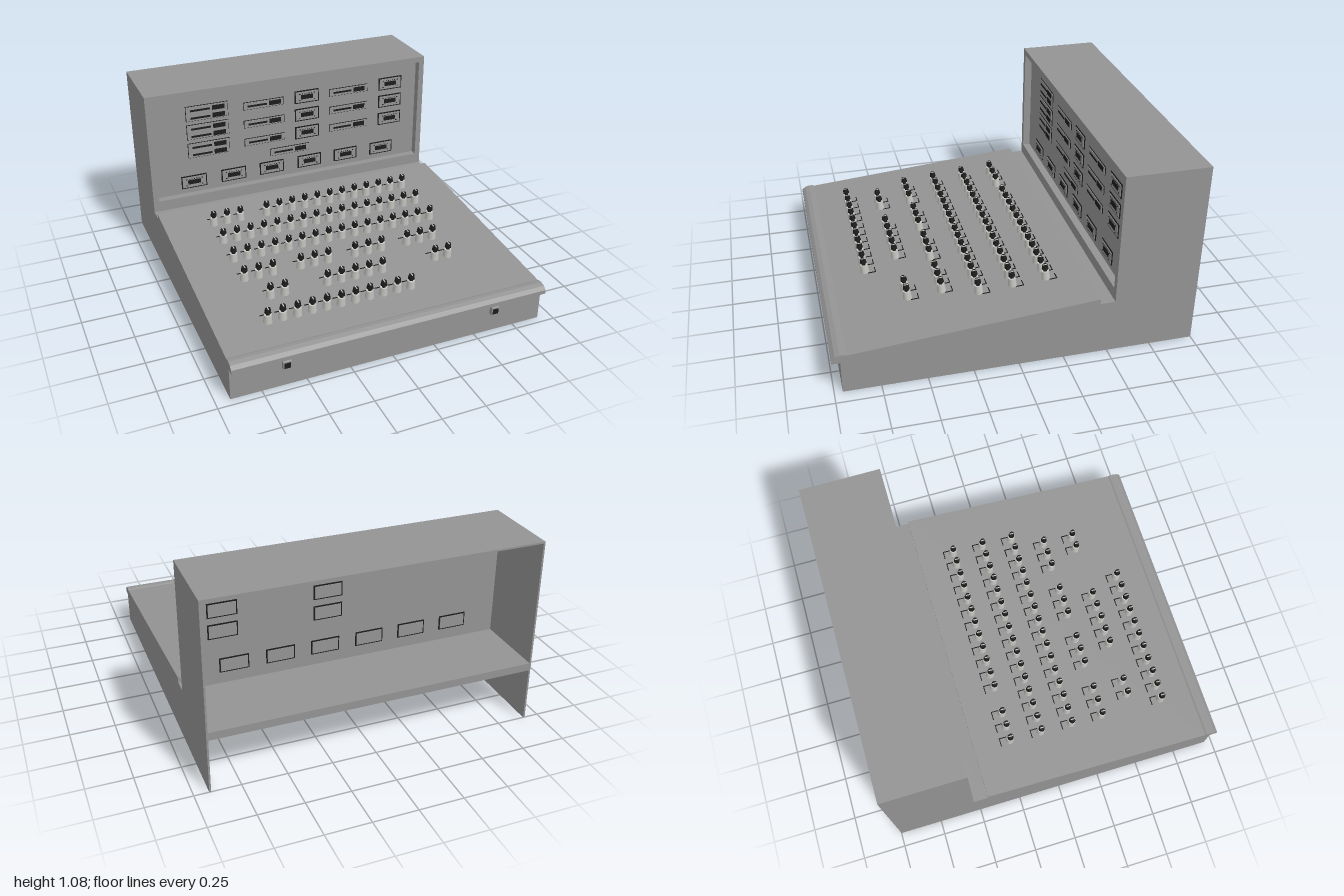
import * as THREE from 'three';

const paint = new THREE.MeshStandardMaterial({ color: 0x949494 });
const light = new THREE.MeshStandardMaterial({ color: 0xc4c4c0 });
const black = new THREE.MeshStandardMaterial({ color: 0x1c1c1c });
paint.name = 'grey paint';
light.name = 'pale plastic';
black.name = 'black plastic';

function add(parent, name, geometry, material, x = 0, y = 0, z = 0) {
  const mesh = new THREE.Mesh(geometry, material);
  mesh.name = name;
  mesh.position.set(x, y, z);
  parent.add(mesh);
  return mesh;
}

const box = (w, h, d) => new THREE.BoxGeometry(w, h, d);

// Extrudes a side profile of [z, y] points along x, centred on x = 0
function profile(points, width) {
  const shape = new THREE.Shape(points.map(([z, y]) => new THREE.Vector2(-z, y)));
  const g = new THREE.ExtrudeGeometry(shape, { depth: width, bevelEnabled: false });
  return g.translate(0, 0, -width / 2).rotateY(Math.PI / 2);
}

const HALF = 0.92;
const PANEL_Z = -0.575;
const deskY = (z) => 0.232 + (0.92 - z) * (0.118 / 1.365);
const TILT = Math.atan(0.118 / 1.365);

// Open-bottomed, open-backed desk with a sloping top
function buildDesk() {
  const desk = new THREE.Group();
  desk.name = 'desk';
  const side = profile([[0.955, 0], [0.955, 0.188], [-0.445, 0.315], [-1, 0.315], [-1, 0]], 0.01);
  for (const s of [-1, 1]) add(desk, 'deskSide', side, paint, s * (HALF - 0.005));
  add(desk, 'deskFront', box(2 * HALF - 0.002, 0.19, 0.01), paint, 0, 0.095, 0.95);
  add(desk, 'slopingTop', profile([
    [-0.445, 0.35], [0.92, 0.232], [0.93, 0.237], [0.955, 0.238], [0.98, 0.23],
    [1, 0.213], [1, 0.19], [0.95, 0.188], [-0.445, 0.315],
  ], 2 * HALF), paint);
  add(desk, 'rearShelf', box(2 * HALF, 0.01, 0.57), paint, 0, 0.315, -0.715);

  // Front latches
  for (const s of [-1, 1]) {
    const latch = new THREE.Group();
    latch.name = 'latch';
    latch.position.x = s * 0.615;
    add(latch, 'latchBody', profile([[0.955, 0.115], [0.976, 0.115], [0.978, 0.16], [0.968, 0.178], [0.955, 0.178]], 0.046), paint);
    add(latch, 'latchWindow', box(0.034, 0.032, 0.004), black, 0, 0.138, 0.978);
    desk.add(latch);
  }
  return desk;
}

// Upright cabinet: front frame, recessed panel and thin sheet walls, open at the back
function buildCabinet() {
  const cabinet = new THREE.Group();
  cabinet.name = 'cabinet';
  add(cabinet, 'cabinetFloor', box(2 * HALF, 0.035, 0.47), paint, 0, 0.3375, -0.765);
  const frame = new THREE.Shape([[-HALF, 0.355], [HALF, 0.355], [HALF, 1.08], [-HALF, 1.08]].map((p) => new THREE.Vector2(...p)));
  frame.holes.push(new THREE.Path([[-0.885, 0.388], [-0.885, 1.045], [0.885, 1.045], [0.885, 0.388]].map((p) => new THREE.Vector2(...p))));
  add(cabinet, 'frontFrame', new THREE.ExtrudeGeometry(frame, { depth: 0.045, bevelEnabled: false }), paint, 0, 0, PANEL_Z);
  add(cabinet, 'instrumentPanel', box(1.82, 0.715, 0.01), paint, 0, 0.7125, PANEL_Z - 0.005);
  add(cabinet, 'roof', box(2 * HALF, 0.01, 0.425), paint, 0, 1.075, -0.7875);
  for (const s of [-1, 1]) add(cabinet, 'cabinetSide', box(0.01, 0.715, 0.425), paint, s * (HALF - 0.005), 0.7125, -0.7875);
  return cabinet;
}

// Meter set through the panel, with a dark surround on both faces
function buildMeter(x, y) {
  const meter = new THREE.Group();
  meter.name = 'meter';
  meter.position.set(x, y, PANEL_Z);
  add(meter, 'meterSurround', box(0.163, 0.084, 0.018), black, 0, 0, -0.005);
  add(meter, 'meterFace', box(0.149, 0.07, 0.024), paint, 0, 0, -0.005);
  add(meter, 'meterWindow', box(0.082, 0.028, 0.004), black, 0, 0, 0.008);
  for (const sx of [-1, 1]) {
    for (const sy of [-1, 1]) add(meter, 'meterScrew', box(0.008, 0.005, 0.003), black, sx * 0.05, sy * 0.021, 0.008);
  }
  for (let i = -2; i <= 2; i++) add(meter, 'meterMark', box(0.006, 0.004, 0.003), black, i * 0.015, 0.021, 0.008);
  return meter;
}

// Flat strip with one or two rows of a thin scale and a dark window
function buildStrip(x, y, h, rows) {
  const strip = new THREE.Group();
  strip.name = 'displayStrip';
  strip.position.set(x, y, PANEL_Z);
  add(strip, 'stripOutline', box(0.268, h, 0.004), black, 0, 0, 0.002);
  add(strip, 'stripPlate', box(0.262, h - 0.006, 0.007), paint, 0, 0, 0.0035);
  for (const dy of rows) {
    add(strip, 'scaleBar', box(0.125, 0.012, 0.003), black, -0.044, dy - 0.002, 0.008);
    add(strip, 'displayWindow', box(0.078, 0.029, 0.003), black, 0.072, dy, 0.008);
  }
  return strip;
}

// Parts shared by all desk switches
const skirt = new THREE.CylinderGeometry(0.021, 0.025, 0.05, 12);
const neck = new THREE.CylinderGeometry(0.011, 0.011, 0.016, 10);
const cap = new THREE.CylinderGeometry(0.015, 0.019, 0.026, 12);
const pointer = box(0.006, 0.003, 0.026);
const markBack = box(0.05, 0.003, 0.005);
const markSide = box(0.005, 0.003, 0.045);

function buildSwitch(x, z) {
  const unit = new THREE.Group();
  unit.name = 'switch';
  unit.position.set(x, deskY(z), z);
  unit.rotation.x = TILT;
  add(unit, 'switchSkirt', skirt, light, 0, 0.025, 0);
  add(unit, 'switchNeck', neck, black, 0, 0.057, 0);
  add(unit, 'switchCap', cap, black, 0, 0.076, 0);
  add(unit, 'switchPointer', pointer, light, 0, 0.089, 0);
  add(unit, 'markBack', markBack, black, 0, 0.0015, -0.058);
  add(unit, 'markSide', markSide, black, 0.0225, 0.0015, -0.038);
  return unit;
}

export function createModel() {
  const model = new THREE.Group();
  model.name = 'controlConsole';
  model.add(buildDesk(), buildCabinet());

  // Instruments in three rows, then a lone strip and the bottom row of meters
  for (const y of [0.914, 0.793, 0.67]) {
    for (const x of [0.116, 0.7]) model.add(buildMeter(x, y));
    for (const x of [-0.172, 0.404]) model.add(buildStrip(x, y - 0.004, 0.05, [0]));
    model.add(buildStrip(-0.537, y + 0.003, 0.098, [0.022, -0.027]));
  }
  model.add(buildStrip(-0.005, 0.566, 0.05, [0]));
  for (const x of [0.13, 0.386, 0.645]) {
    for (const s of [-1, 1]) model.add(buildMeter(s * x, 0.463));
  }

  // Switch rows from back to front; x marks an occupied column
  const rows = [
    'xxx.xxxxxxxxxxxx',
    'xxxxxxxxxxxxxxxx',
    'xxxxxxxxxxxxxxxx',
    'xxx.xxx.xxx.xxx.',
    '.xx..xxxxx...xx.',
    'xxxxxxxxxxx.....',
  ];
  rows.forEach((row, r) => {
    [...row].forEach((mark, c) => {
      if (mark === 'x') model.add(buildSwitch(-0.63 + c * 0.084, -0.227 + r * 0.191));
    });
  });
  return model;
}
